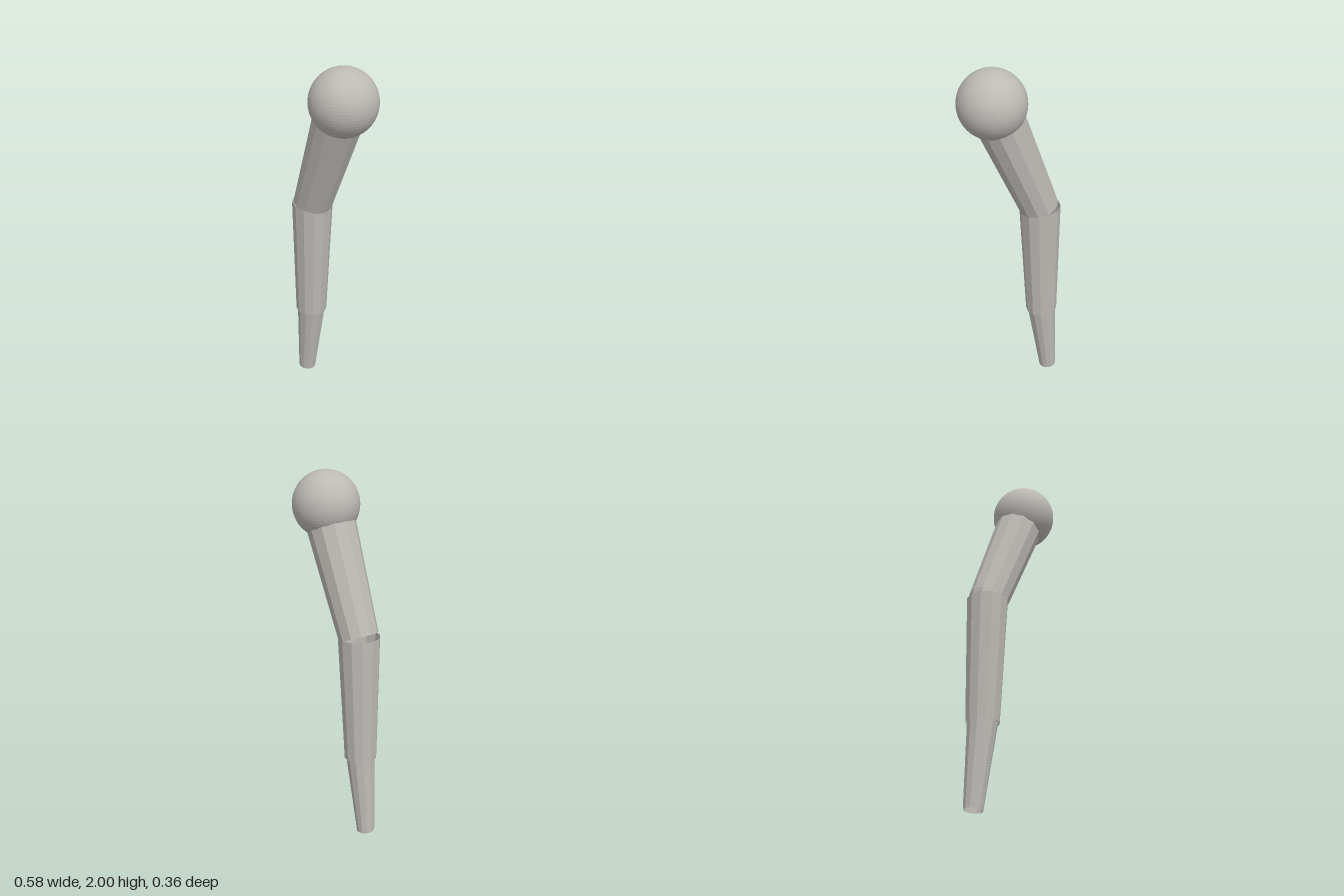
import * as THREE from 'three';

export function createModel() {
  const group = new THREE.Group();
  group.name = 'jointedLimb';

  const grey = new THREE.MeshStandardMaterial({ color: 0xbdbab5, flatShading: true, side: THREE.DoubleSide });
  grey.name = 'warmGrey';

  // Open tapered tube between two points in the front plane
  function addTube(name, bottom, top, bottomRadius, topRadius) {
    const a = new THREE.Vector3(...bottom, 0);
    const b = new THREE.Vector3(...top, 0);
    const axis = b.clone().sub(a);
    const geometry = new THREE.CylinderGeometry(topRadius, bottomRadius, axis.length(), 12, 1, true);
    const mesh = new THREE.Mesh(geometry, grey);
    mesh.name = name;
    mesh.position.copy(a).add(b).multiplyScalar(0.5);
    mesh.quaternion.setFromUnitVectors(new THREE.Vector3(0, 1, 0), axis.normalize());
    group.add(mesh);
  }

  addTube('lowerSegment', [-0.244, 0.006], [-0.192, 0.46], 0.05, 0.08);
  addTube('middleSegment', [-0.191, 0.46], [-0.168, 1.167], 0.089, 0.113);
  addTube('upperSegment', [-0.165, 1.164], [0.063, 1.711], 0.108, 0.132);

  // Ball joint at the top
  const ball = new THREE.Mesh(new THREE.SphereGeometry(0.178, 64, 32), grey);
  ball.name = 'ballJoint';
  ball.position.set(0.111, 1.822, 0);
  group.add(ball);

  return group;
}
